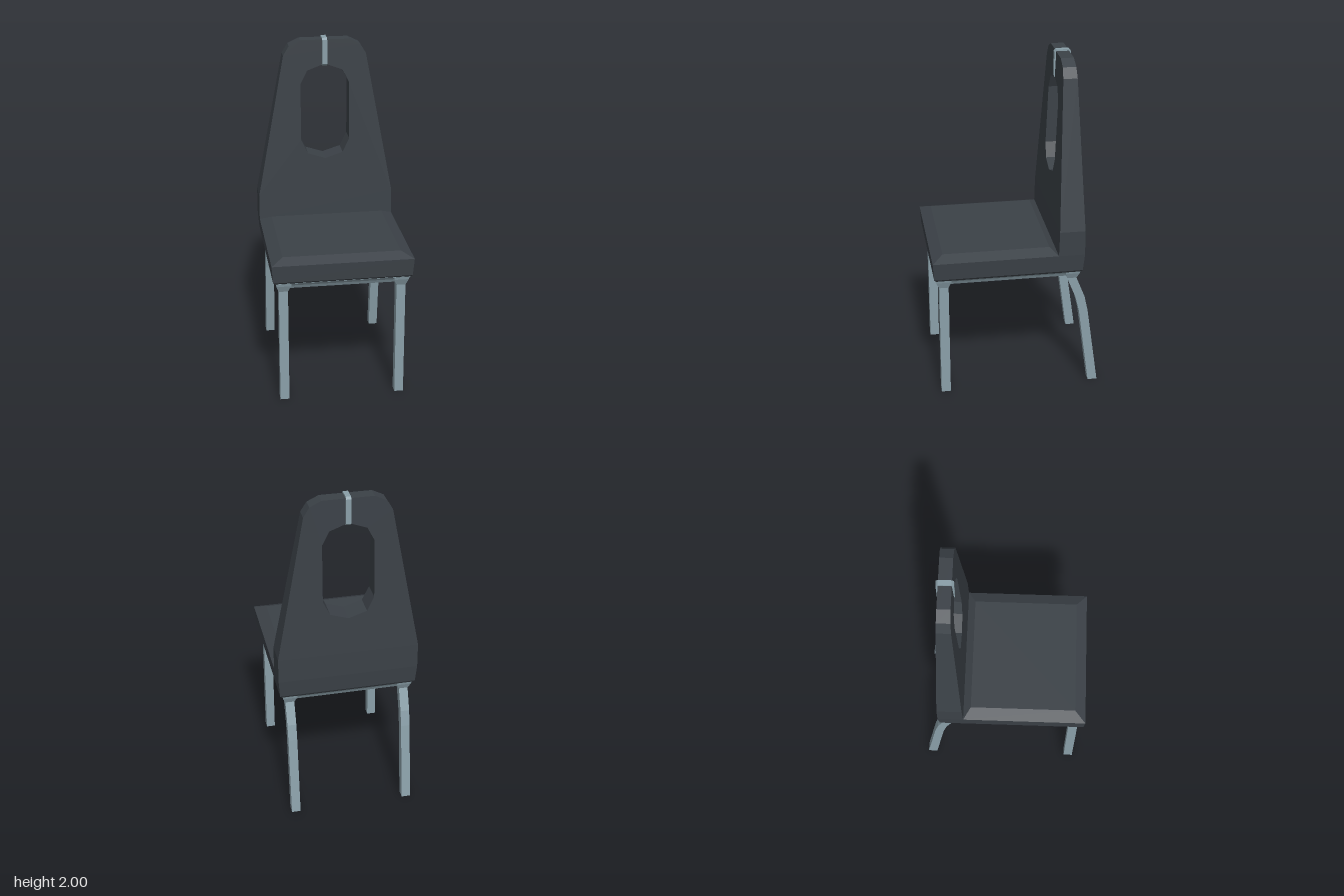
import * as THREE from 'three';

const upholstery = new THREE.MeshStandardMaterial({ color: 0x3b4147 });
upholstery.name = 'charcoal upholstery';
const metal = new THREE.MeshStandardMaterial({ color: 0x8a9fa8 });
metal.name = 'grey metal';

// Joins rectangular sections [y, x0, x1, z0, z1] into a faceted solid.
function loft(sections, capped = true) {
  const rings = sections.map(([y, x0, x1, z0, z1]) =>
    [[x0, y, z1], [x1, y, z1], [x1, y, z0], [x0, y, z0]]);
  const pos = [];
  const quad = (a, b, c, d) => pos.push(...a, ...b, ...c, ...a, ...c, ...d);
  for (let i = 0; i < rings.length - 1; i++) {
    const lo = rings[i], hi = rings[i + 1];
    for (let k = 0; k < 4; k++) {
      const n = (k + 1) % 4;
      quad(lo[k], lo[n], hi[n], hi[k]);
    }
  }
  if (capped) {
    const b = rings[0], t = rings[rings.length - 1];
    quad(b[3], b[2], b[1], b[0]);
    quad(t[0], t[1], t[2], t[3]);
  }
  const geo = new THREE.BufferGeometry();
  geo.setAttribute('position', new THREE.Float32BufferAttribute(pos, 3));
  geo.computeVertexNormals();
  return geo;
}

// Section symmetric in x
const sym = (y, x, z0, z1) => [y, -x, x, z0, z1];
const points = (list) => list.map(([x, y]) => new THREE.Vector2(x, y));
// Completes a right-hand outline (listed upwards) with its mirror image
const mirrored = (half) => points([...half, ...half.filter(([x]) => x > 0).reverse().map(([x, y]) => [-x, y])]);

function backGeometry() {
  const shape = new THREE.Shape(mirrored([
    [0.413, 1.03], [0.25, 1.9], [0.215, 1.957], [0.148, 1.99]]));
  shape.holes.push(new THREE.Path(mirrored([
    [0, 1.255], [0.107, 1.29], [0.148, 1.375], [0.148, 1.725], [0.107, 1.805], [0, 1.845]])));
  const geo = new THREE.ExtrudeGeometry(shape, { depth: 1, bevelEnabled: false });
  // Thin the panel towards its top
  const p = geo.attributes.position;
  for (let i = 0; i < p.count; i++) {
    const t = (p.getY(i) - 1.03) / 0.96;
    const rear = THREE.MathUtils.lerp(-0.39, -0.354, t);
    const front = THREE.MathUtils.lerp(-0.241, -0.279, t);
    p.setZ(i, p.getZ(i) > 0.5 ? front : rear);
  }
  geo.computeVertexNormals();
  return geo;
}

// Closed strap with chamfered corners, wrapped around the top rail
function clipGeometry() {
  const outline = (w, y0, y1, c) => points([
    [-w + c, y0], [w - c, y0], [w, y0 + c], [w, y1 - c],
    [w - c, y1], [-w + c, y1], [-w, y1 - c], [-w, y0 + c]]);
  const shape = new THREE.Shape(outline(0.049, 1.83, 2, 0.012));
  shape.holes.push(new THREE.Path(outline(0.036, 1.843, 1.987, 0.006)));
  const geo = new THREE.ExtrudeGeometry(shape, { depth: 0.03, bevelEnabled: false });
  return geo.translate(0, 0, -0.015).rotateY(-Math.PI / 2).translate(0, 0, -0.317);
}

export function createModel() {
  const chair = new THREE.Group();
  chair.name = 'chair';
  const add = (name, geo, mat) => {
    const mesh = new THREE.Mesh(geo, mat);
    mesh.name = name;
    chair.add(mesh);
  };

  // Seat cushion with bevelled top
  add('seat', loft([
    sym(0.762, 0.395, -0.237, 0.48), sym(0.775, 0.405, -0.237, 0.491),
    sym(0.88, 0.413, -0.237, 0.498), sym(0.91, 0.343, -0.193, 0.434)]), upholstery);
  add('seatUnderside', loft([
    sym(0.738, 0.345, -0.335, 0.445), sym(0.764, 0.345, -0.335, 0.445)]), upholstery);

  // Backrest: straight base, then the tapering panel with its hand hole
  add('backrestBase', loft([
    sym(0.762, 0.395, -0.374, -0.237), sym(0.775, 0.405, -0.382, -0.237),
    sym(0.88, 0.413, -0.391, -0.237), sym(1.03, 0.413, -0.39, -0.241)]), upholstery);
  add('backrest', backGeometry(), upholstery);
  add('topClip', clipGeometry(), metal);

  // Frame ring under the seat with sloping outer sides
  const ring = (y, inset) => sym(y, 0.392 - inset, -0.375 + inset, 0.485 - inset);
  add('seatFrame', loft([
    ring(0.765, 0.055), ring(0.724, 0.055), ring(0.724, 0.03),
    ring(0.745, 0.018), ring(0.765, 0), ring(0.765, 0.055)], false), metal);

  // Legs, flared where they meet the frame
  const x0 = 0.317, x1 = 0.37;
  const frontLeg = [
    [0, x0, x1, 0.405, 0.46], [0.705, x0, x1, 0.405, 0.46],
    [0.745, 0.3, 0.385, 0.39, 0.478], [0.764, 0.3, 0.39, 0.39, 0.483]];
  const rearLeg = [
    [0, x0, x1, -0.495, -0.439], [0.485, x0, x1, -0.426, -0.373],
    [0.58, x0, x1, -0.405, -0.35], [0.71, x0, x1, -0.353, -0.297],
    [0.745, 0.3, 0.385, -0.368, -0.285], [0.764, 0.3, 0.39, -0.373, -0.285]];
  for (const [side, s] of [['Left', 1], ['Right', -1]]) {
    for (const [name, sections] of [['frontLeg', frontLeg], ['rearLeg', rearLeg]]) {
      const placed = sections.map(([y, a, b, z0, z1]) =>
        s > 0 ? [y, a, b, z0, z1] : [y, -b, -a, z0, z1]);
      add(name + side, loft(placed), metal);
    }
  }
  return chair;
}
